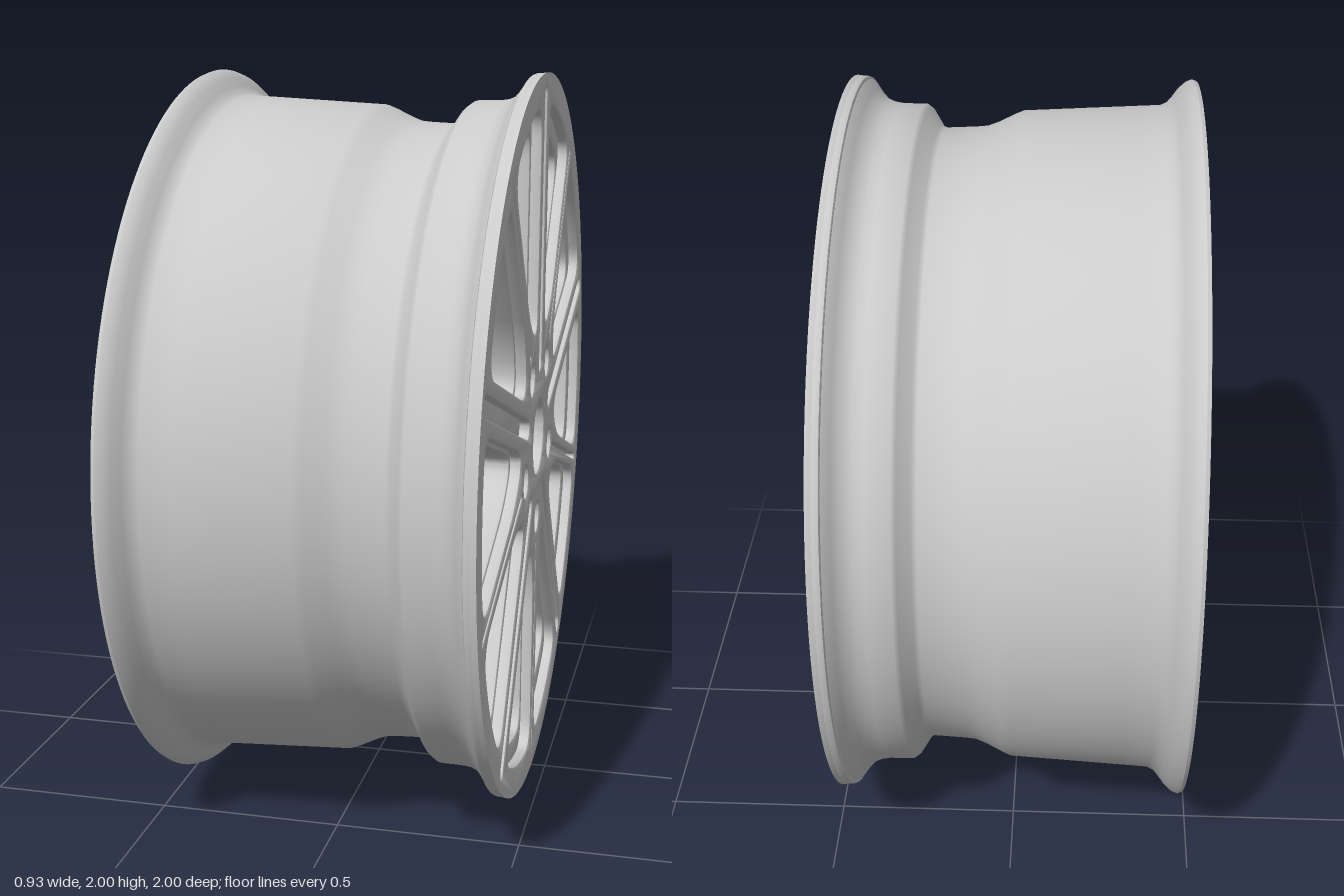
import * as THREE from 'three';
import { toCreasedNormals } from 'three/addons/utils/BufferGeometryUtils.js';

const STEP = Math.PI / 5; // ten spokes, wide and narrow in turn
const BEVEL = 0.008;
const material = new THREE.MeshStandardMaterial({ color: 0xcccccc });

function addPart(group, name, geometry, crease = 0.55) {
  const mesh = new THREE.Mesh(toCreasedNormals(geometry, crease), material);
  mesh.name = name;
  group.add(mesh);
}

// Turns a set of points about the axis, mirrored first if asked
function turned(points, angle, mirror = 1) {
  const c = Math.cos(angle), s = Math.sin(angle);
  return new THREE.Path(points.map(({ x, y }) =>
    new THREE.Vector2(x * c - y * mirror * s, x * s + y * mirror * c)));
}

function circle(r, x = 0, y = 0, segments = 40) {
  const path = new THREE.Path();
  path.absarc(x, y, r, 0, Math.PI * 2);
  return path.getPoints(segments).slice(0, -1);
}

// Opening between a narrow spoke on the x axis and the wide spoke beside it
function windowPoints(wide, narrow, radius, grow) {
  const c = Math.cos(STEP), s = Math.sin(STEP);
  const onWide = (t) => [t * c + wide * s, t * s - wide * c];
  const a0 = Math.asin(narrow / radius);
  const a1 = STEP - Math.asin(wide / radius);
  const polar = (a) => [radius * Math.cos(a), radius * Math.sin(a)];
  const p = new THREE.Path();
  p.moveTo(...onWide(0.38));
  p.lineTo(...onWide(radius - 0.1));
  p.quadraticCurveTo(...polar(a1), ...polar(a1 - 0.09));
  p.absarc(0, 0, radius, a1 - 0.09, a0 + 0.09, true);
  p.quadraticCurveTo(...polar(a0), radius - 0.1, narrow);
  p.lineTo(0.5, narrow + 0.003);
  p.quadraticCurveTo(0.42, narrow + 0.006, 0.36, narrow + 0.03);
  p.bezierCurveTo(0.31 - grow, narrow + 0.052, ...onWide(0.305 - grow), ...onWide(0.38));
  return p.getPoints(10).slice(0, -1);
}

// Round-ended slot along the x axis
function slotPoints(start, end, half) {
  const p = new THREE.Path();
  p.absarc(end - half, 0, half, -Math.PI / 2, Math.PI / 2);
  p.absarc(start + half, 0, half, Math.PI / 2, Math.PI * 1.5);
  return p.getPoints(8);
}

// Disc with bore and bolt holes; depth range includes the bevels
function plate(radius, back, front, extraHoles) {
  const bevelDepth = 0.01;
  const shape = new THREE.Shape(circle(radius, 0, 0, 144));
  shape.holes.push(new THREE.Path(circle(0.105 + BEVEL, 0, 0, 48)), ...extraHoles);
  for (let i = 0; i < 5; i++) {
    shape.holes.push(turned(circle(0.045 + BEVEL, 0.235, 0, 24), -Math.PI / 2 + i * 2 * STEP));
  }
  const geometry = new THREE.ExtrudeGeometry(shape, {
    depth: front - back - 2 * bevelDepth, bevelThickness: bevelDepth,
    bevelSize: BEVEL, bevelSegments: 2,
  });
  return geometry.translate(0, 0, back + bevelDepth);
}

function allWindows(...size) {
  const points = windowPoints(...size);
  const holes = [];
  for (let i = 0; i < 5; i++) {
    for (const mirror of [1, -1]) holes.push(turned(points, -Math.PI / 2 + i * 2 * STEP, mirror));
  }
  return holes;
}

export function createModel() {
  const group = new THREE.Group();
  group.name = 'wheel';
  const wheel = new THREE.Group();
  wheel.name = 'wheelBody';
  group.add(wheel);

  // Thin barrel: outer skin from back to front, then the inner skin back again
  const profile = [
    [0.972, -0.463], [0.985, -0.469], [0.996, -0.468], [1.0, -0.458], [0.994, -0.443],
    [0.978, -0.425], [0.955, -0.408], [0.938, -0.393], [0.93, -0.375], [0.926, -0.3],
    [0.91, 0.0], [0.902, 0.02], [0.878, 0.07], [0.867, 0.1], [0.864, 0.13], [0.86, 0.215],
    [0.866, 0.228], [0.915, 0.258], [0.924, 0.27], [0.925, 0.335], [0.929, 0.36],
    [0.94, 0.385], [0.962, 0.405], [0.986, 0.422], [0.997, 0.436], [1.0, 0.46],
    [0.99, 0.46], [0.985, 0.43], [0.92, 0.43], [0.912, 0.37], [0.908, 0.275],
    [0.9, 0.263], [0.856, 0.236], [0.85, 0.215], [0.854, 0.12], [0.857, 0.1],
    [0.867, 0.067], [0.89, 0.018], [0.897, -0.005], [0.912, -0.3], [0.916, -0.378],
    [0.925, -0.4], [0.944, -0.418], [0.965, -0.437], [0.972, -0.463],
  ].map(([r, z]) => new THREE.Vector2(r, z));
  addPart(wheel, 'barrel', new THREE.LatheGeometry(profile, 144).rotateX(Math.PI / 2), 0.7);

  // Structural spokes with the recessed floor of the outer ring
  addPart(wheel, 'spokes', plate(0.92, 0.36, 0.43, allWindows(0.07, 0.034, 0.873, 0)));

  // Raised front with a groove cut along each spoke
  const cuts = allWindows(0.06, 0.028, 0.925, 0.012);
  for (let i = 0; i < 5; i++) {
    cuts.push(turned(slotPoints(0.18, 0.975, 0.034), Math.PI / 2 + i * 2 * STEP));
    cuts.push(turned(slotPoints(0.3, 0.945, 0.016), -Math.PI / 2 + i * 2 * STEP));
  }
  addPart(wheel, 'spokeFace', plate(0.99, 0.425, 0.46, cuts));

  // Mounting pad behind the hub
  addPart(wheel, 'hubPad', plate(0.295, 0.31, 0.38, []));

  // Turn the axle to x and stand the wheel on the ground
  wheel.rotation.y = Math.PI / 2;
  wheel.position.y = 1;
  return group;
}
